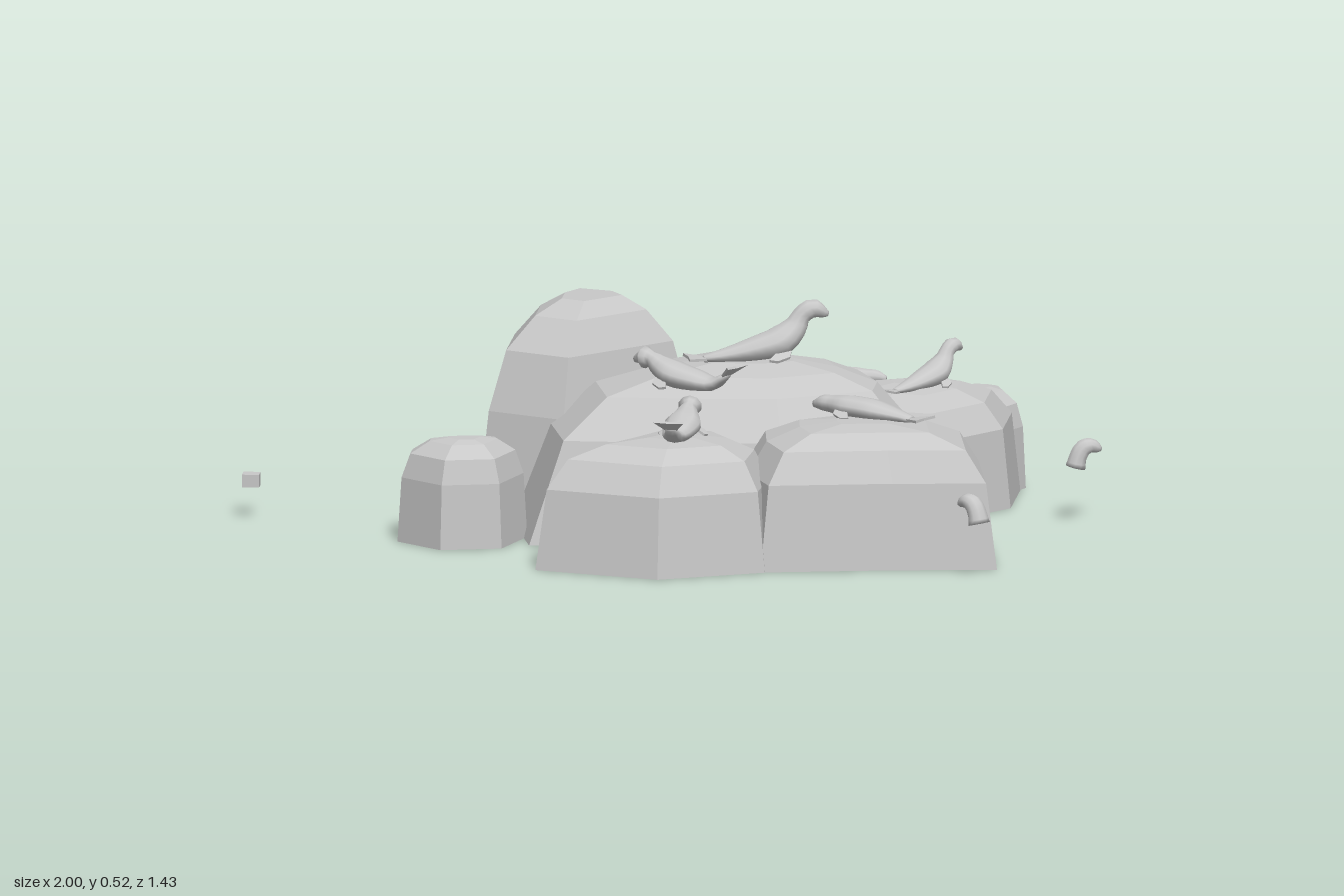
import * as THREE from 'three';
import { mergeVertices } from 'three/addons/utils/BufferGeometryUtils.js';

const rockGrey = new THREE.MeshStandardMaterial({ color: 0xc8c8c8, side: THREE.DoubleSide, flatShading: true });
rockGrey.name = 'rockGrey';
const sealGrey = new THREE.MeshStandardMaterial({ color: 0xc8c8c8, side: THREE.DoubleSide });
sealGrey.name = 'sealGrey';

// Skin a list of rings (arrays of Vector3); the caps close to the ring centres.
function loft(rings, capStart, capEnd) {
  const pos = [], n = rings[0].length;
  const tri = (...pts) => pts.forEach((p) => pos.push(p.x, p.y, p.z));
  for (let i = 0; i < rings.length - 1; i++) {
    for (let j = 0; j < n; j++) {
      const k = (j + 1) % n, a = rings[i], b = rings[i + 1];
      tri(a[j], a[k], b[k]);
      tri(a[j], b[k], b[j]);
    }
  }
  const cap = (ring, flip) => {
    const c = ring.reduce((s, p) => s.add(p), new THREE.Vector3()).divideScalar(n);
    ring.forEach((p, j) => {
      const q = ring[(j + 1) % n];
      flip ? tri(c, q, p) : tri(c, p, q);
    });
  };
  if (capStart) cap(rings[0], true);
  if (capEnd) cap(rings[rings.length - 1], false);
  const g = new THREE.BufferGeometry();
  g.setAttribute('position', new THREE.Float32BufferAttribute(pos, 3));
  return g;
}

function addMesh(parent, name, geometry, material) {
  const m = new THREE.Mesh(geometry, material);
  m.name = name;
  parent.add(m);
  return m;
}

// Rock: a ground outline pulled in towards its centre, open underneath.
// Tiers are [outline scale, fraction of the height].
const WIDE = [[1, 0], [0.92, 0.64], [0.77, 0.87], [0.5, 0.97], [0.2, 1]];
const BROAD = [[1, 0], [0.85, 0.62], [0.66, 0.86], [0.44, 0.95], [0.2, 1]];
const ROUND = [[1, 0], [0.92, 0.64], [0.73, 0.85], [0.44, 0.955], [0.18, 1]];
const TALL = [[1, 0], [0.9, 0.5], [0.75, 0.78], [0.5, 0.93], [0.27, 1]];
const SMALL = [[1, 0], [0.94, 0.62], [0.81, 0.85], [0.52, 0.97], [0.25, 1]];
const ROCKS = [
  ['mainRock', 0.385, [0.2, -0.06], BROAD,
    [[0.62, 0.1], [0.62, -0.08], [0.53, -0.3], [0.24, -0.43], [-0.07, -0.46], [-0.26, -0.25], [-0.37, 0.01], [-0.3, 0.31], [0.0, 0.31], [0.3, 0.29]]],
  ['tallRock', 0.5, [-0.2, -0.2], TALL,
    [[0.045, -0.24], [-0.06, -0.42], [-0.345, -0.52], [-0.455, -0.31], [-0.455, -0.03], [-0.25, 0.08]]],
  ['frontRock', 0.295, [0.06, 0.46], WIDE,
    [[0.29, 0.4], [0.2, 0.24], [-0.03, 0.24], [-0.13, 0.42], [-0.255, 0.62], [0.04, 0.715], [0.28, 0.6]]],
  ['frontLeftRock', 0.315, [0.48, 0.33], WIDE,
    [[0.815, 0.515], [0.765, 0.2], [0.62, 0.09], [0.4, 0.08], [0.18, 0.25], [0.2, 0.42], [0.27, 0.6], [0.58, 0.54]]],
  ['backLeftRock', 0.292, [0.54, -0.29], ROUND,
    [[0.77, -0.27], [0.77, -0.5], [0.66, -0.56], [0.5, -0.56], [0.2, -0.41], [0.3, -0.2], [0.45, -0.1], [0.62, -0.06]]],
  ['smallCornerRock', 0.235, [0.665, -0.56], SMALL,
    [[0.78, -0.53], [0.745, -0.64], [0.63, -0.66], [0.55, -0.58], [0.58, -0.46], [0.74, -0.44]]],
  ['smallBackRock', 0.24, [0.215, -0.6], SMALL,
    [[0.345, -0.6], [0.275, -0.72], [0.16, -0.71], [0.115, -0.6], [0.085, -0.5], [0.26, -0.47]]],
  ['smallRightRock', 0.245, [-0.455, 0.265], SMALL,
    [[-0.315, 0.2], [-0.335, 0.155], [-0.47, 0.165], [-0.61, 0.22], [-0.61, 0.29], [-0.5, 0.39], [-0.36, 0.355]]],
];

function rockGeometry(height, [cx, cz], tiers, outline) {
  const g = loft(tiers.map(([s, f]) => outline.map(([x, z]) =>
    new THREE.Vector3(cx + (x - cx) * s, f * height, cz + (z - cz) * s))), false, true);
  g.computeVertexNormals();
  return g;
}

// Smooth body along a spine of [x, y, half width, half height] sections.
function bodyGeometry(sections, steps = 18, sides = 10) {
  const spine = new THREE.CatmullRomCurve3(sections.map(([x, y]) => new THREE.Vector3(x, y, 0)));
  const size = new THREE.CatmullRomCurve3(sections.map((s) => new THREE.Vector3(s[2], s[3], 0)));
  const rings = [];
  for (let i = 0; i <= steps; i++) {
    const c = spine.getPoint(i / steps), t = spine.getTangent(i / steps), r = size.getPoint(i / steps);
    rings.push(Array.from({ length: sides }, (_, j) => {
      const a = (j / sides) * Math.PI * 2, up = r.y * Math.cos(a);
      return new THREE.Vector3(c.x - t.y * up, c.y + t.x * up, r.x * Math.sin(a));
    }));
  }
  const g = mergeVertices(loft(rings, true, true), 1e-5);
  g.computeVertexNormals();
  return g;
}

// Thin plate from an outline lying in the xz plane.
function plateGeometry(points) {
  const shape = new THREE.Shape(points.map(([x, z]) => new THREE.Vector2(x, -z)));
  const g = new THREE.ExtrudeGeometry(shape, { depth: 0.006, bevelEnabled: false });
  return g.rotateX(-Math.PI / 2);
}

// Head raised and chest propped up.
const UPRIGHT = [[-0.12, 0.01, 0.014, 0.008], [-0.06, 0.018, 0.03, 0.018], [0, 0.03, 0.043, 0.028],
  [0.05, 0.044, 0.047, 0.034], [0.083, 0.072, 0.032, 0.028], [0.099, 0.1, 0.023, 0.021],
  [0.122, 0.114, 0.025, 0.022], [0.148, 0.104, 0.014, 0.012], [0.158, 0.1, 0.006, 0.006]];
// Stretched out with the head slightly lifted and the tail curled up.
const CURLED = [[-0.125, 0.05, 0.014, 0.008], [-0.085, 0.024, 0.028, 0.016], [-0.03, 0.026, 0.044, 0.026],
  [0.03, 0.034, 0.049, 0.031], [0.075, 0.05, 0.034, 0.026], [0.1, 0.064, 0.023, 0.02],
  [0.125, 0.066, 0.023, 0.02], [0.152, 0.058, 0.008, 0.008]];
// Flat and asleep.
const LYING = [[-0.12, 0.014, 0.014, 0.008], [-0.07, 0.02, 0.03, 0.016], [-0.01, 0.025, 0.044, 0.025],
  [0.05, 0.027, 0.043, 0.026], [0.095, 0.028, 0.027, 0.021], [0.122, 0.028, 0.022, 0.019],
  [0.15, 0.023, 0.008, 0.008]];

function makeSeal(sections) {
  const seal = new THREE.Group();
  addMesh(seal, 'body', bodyGeometry(sections), sealGrey);
  const [tx, ty] = sections[0];
  const raised = sections === CURLED;
  const fan = plateGeometry([[0.012, -0.01], [-0.04, -0.04], [-0.036, 0], [-0.04, 0.04], [0.012, 0.01]]);
  const tail = addMesh(seal, 'tailFlippers', fan, sealGrey);
  tail.position.set(tx, ty - 0.003, 0);
  tail.rotation.z = raised ? -0.65 : -0.1;
  for (const side of [-1, 1]) {
    const outline = [[0.016, 0], [-0.014, 0], [-0.04, 0.036], [-0.022, 0.042], [0.008, 0.026]];
    const fin = addMesh(seal, side < 0 ? 'rightFlipper' : 'leftFlipper',
      plateGeometry(outline.map(([x, z]) => [x, z * side])), sealGrey);
    fin.position.set(0.055, 0.022, side * 0.026);
    fin.rotation.x = side * 0.4;
  }
  return seal;
}

// [name, pose, tail x z, head x z, ground height]
const SEALS = [
  ['summitSeal', UPRIGHT, [0.04, 0.005], [0.36, -0.09], 0.38],
  ['restingSeal', CURLED, [0.18, 0.22], [-0.08, 0.065], 0.345],
  ['backUprightSeal', UPRIGHT, [0.49, -0.165], [0.645, -0.365], 0.28],
  ['frontSeal', CURLED, [0.055, 0.61], [0.085, 0.33], 0.288],
  ['frontLeftSeal', LYING, [0.63, 0.35], [0.35, 0.2], 0.305],
  ['backSleepingSeal', LYING, [0.21, -0.405], [0.475, -0.375], 0.262],
];

// Swimmer: neck and head only.
const NECK = [[-0.018, -0.034, 0.027, 0.024], [-0.012, -0.01, 0.024, 0.021], [0, 0.01, 0.022, 0.021],
  [0.018, 0.016, 0.02, 0.018], [0.036, 0.009, 0.013, 0.011], [0.043, 0.006, 0.006, 0.005]];

export function createModel() {
  const model = new THREE.Group();
  model.name = 'sealColony';
  for (const [name, ...spec] of ROCKS) addMesh(model, name, rockGeometry(...spec), rockGrey);

  for (const [name, pose, [tx, tz], [hx, hz], y] of SEALS) {
    const seal = makeSeal(pose);
    seal.name = name;
    const dx = hx - tx, dz = hz - tz;
    seal.scale.setScalar(Math.hypot(dx, dz) / 0.315);
    seal.position.set((tx + hx) / 2, y, (tz + hz) / 2);
    seal.rotation.y = Math.atan2(-dz, dx);
    model.add(seal);
  }

  // Two heads looking out of the water
  const neck = bodyGeometry(NECK, 12);
  const first = addMesh(model, 'leftSwimmer', neck, sealGrey);
  first.position.set(0.955, 0.165, -0.11);
  first.rotation.y = 0.3;
  const second = addMesh(model, 'frontSwimmer', neck, sealGrey);
  second.position.set(0.77, 0.165, 0.622);
  second.rotation.y = Math.PI - 0.6;

  // Small floating block
  const block = addMesh(model, 'floatingBlock', new THREE.BoxGeometry(0.04, 0.03, 0.04), rockGrey);
  block.position.set(-0.98, 0.087, 0.005);
  return model;
}
